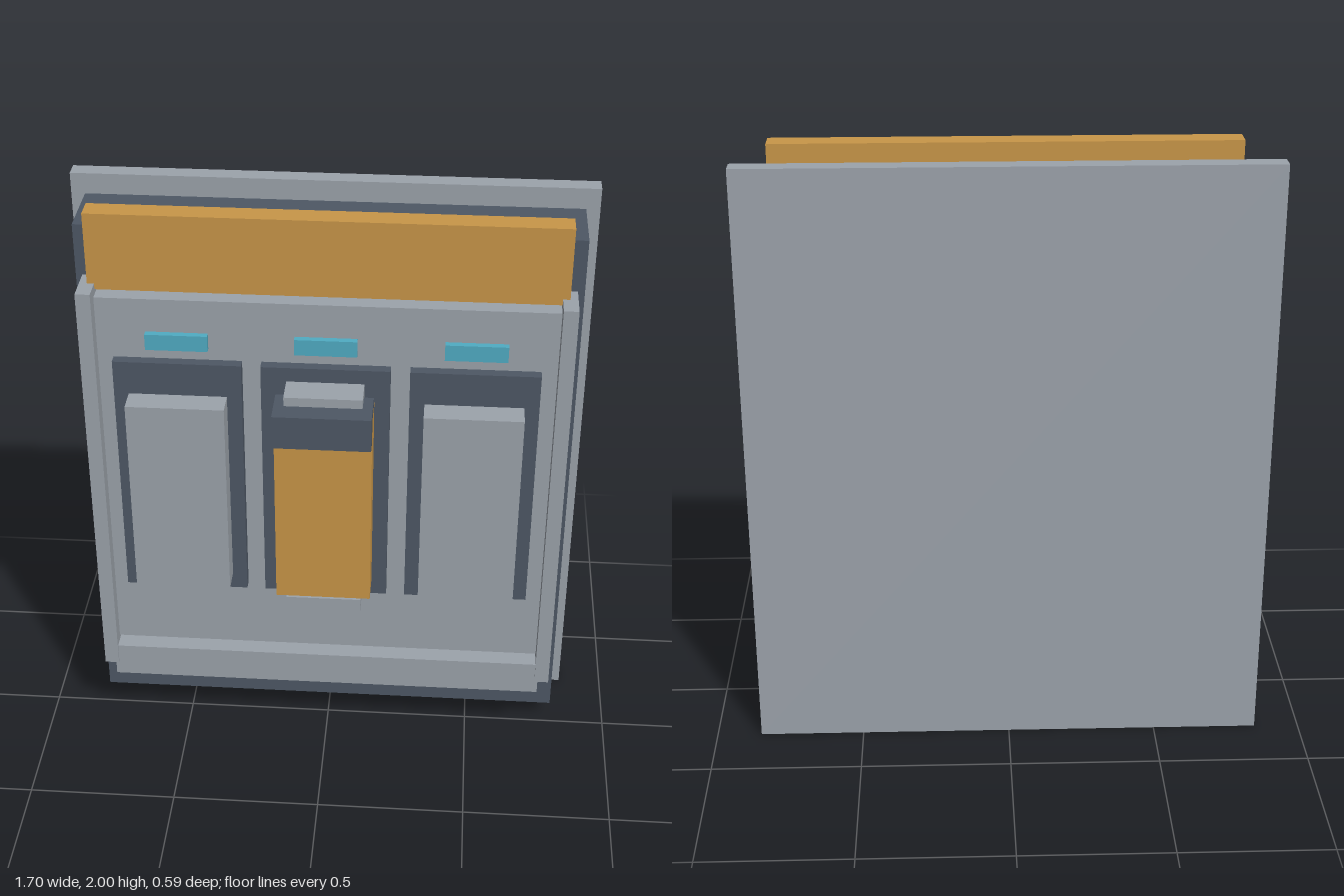
import * as THREE from 'three';

const material = (name, color) => {
  const m = new THREE.MeshStandardMaterial({ color });
  m.name = name;
  return m;
};

export function createModel() {
  const grey = material('lightGrey', 0x9ca3ab);
  const dark = material('slateGrey', 0x4e5865);
  const amber = material('amber', 0xc89648);
  const cyan = material('cyan', 0x50acc3);

  const model = new THREE.Group();
  model.name = 'wallPanel';

  // Box given by its limits on each axis
  const box = (name, mat, [x0, x1], [y0, y1], [z0, z1]) => {
    const mesh = new THREE.Mesh(new THREE.BoxGeometry(x1 - x0, y1 - y0, z1 - z0), mat);
    mesh.position.set((x0 + x1) / 2, (y0 + y1) / 2, (z0 + z1) / 2);
    mesh.name = name;
    model.add(mesh);
  };
  const span = (half, centre = 0) => [centre - half, centre + half];

  // Housing
  box('backPlate', grey, span(0.85), [0, 2], [-0.295, -0.235]);
  box('housing', dark, span(0.805), [0.08, 1.93], [-0.235, -0.005]);
  box('topBeam', amber, span(0.757), [1.74, 2], [-0.013, 0.063]);

  // Front panel with its frame
  box('frontPanel', grey, span(0.735), [0.38, 1.725], [-0.005, 0.09]);
  box('bottomSill', grey, span(0.745), [0.243, 0.365], [0.053, 0.133]);
  for (const [side, s] of [['left', 1], ['right', -1]]) {
    box(side + 'Rail', grey, span(0.024, s * 0.758), [0.295, 1.76], [0.005, 0.14]);
  }

  // Three bays, each with a recess plate and an indicator
  for (const [bay, x] of [['right', -0.476], ['centre', 0], ['left', 0.476]]) {
    box(bay + 'BayPlate', dark, span(0.207, x), [0.64, 1.515], [0.09, 0.125]);
    box(bay + 'Indicator', cyan, span(0.1, x), [1.555, 1.61], [0.09, 0.112]);
    if (x !== 0) box(bay + 'Block', grey, span(0.159, x), [0.7, 1.4], [0.125, 0.21]);
  }

  // Centre lever with handle and end clips
  box('lever', amber, span(0.157), [0.7, 1.4], [0.125, 0.238]);
  box('leverHandle', dark, span(0.157), [1.32, 1.435], [0.155, 0.295]);
  box('upperClip', grey, span(0.125), [1.417, 1.466], [0.125, 0.226]);
  box('lowerClip', grey, span(0.125), [0.635, 0.684], [0.125, 0.226]);

  return model;
}
